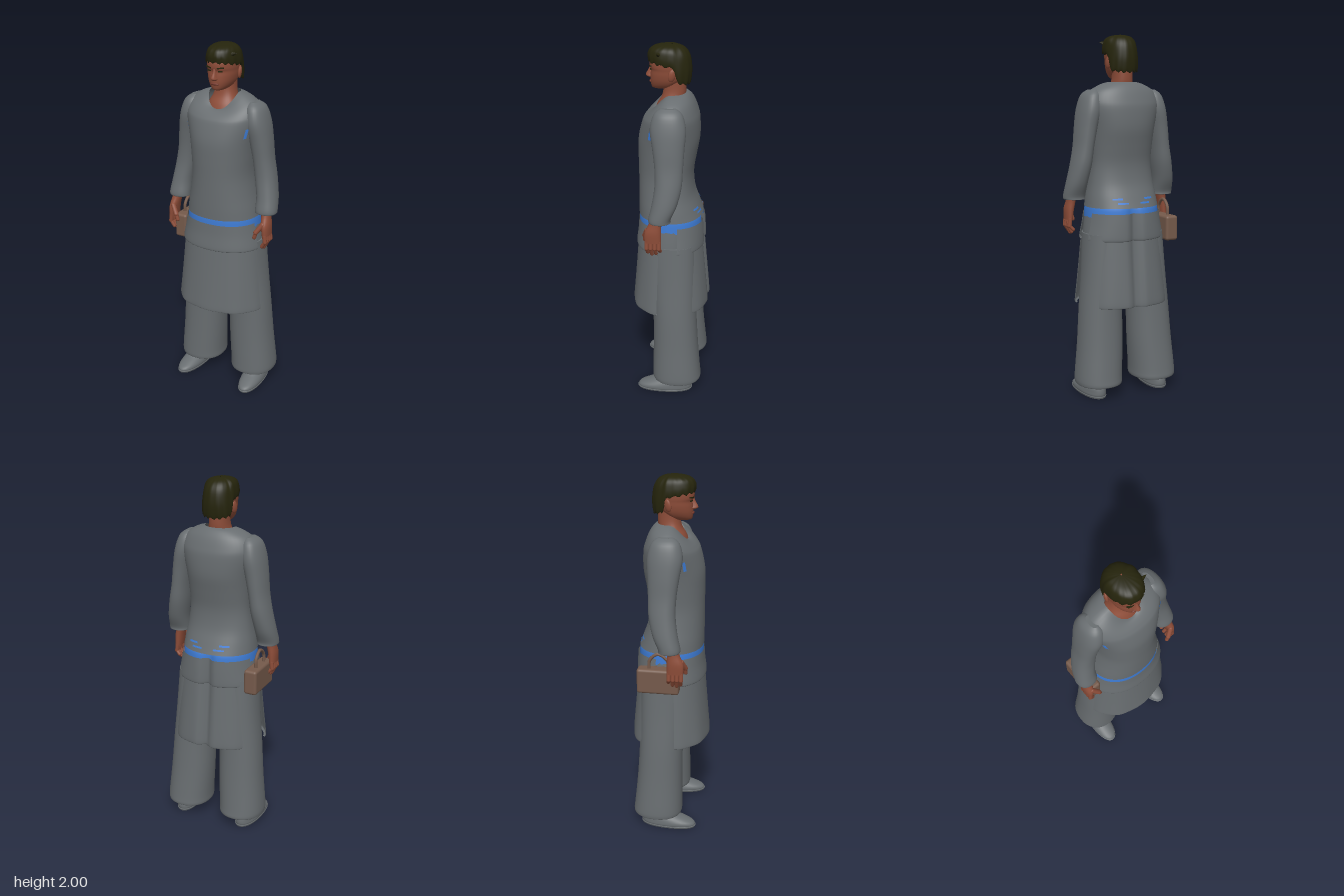
import * as THREE from 'three';
import { RoundedBoxGeometry } from 'three/addons/geometries/RoundedBoxGeometry.js';

const mat = (name, color) => new THREE.MeshStandardMaterial({ name, color, side: THREE.DoubleSide });
const M = {
  cloth: mat('greyCloth', 0x686d70),
  blue: mat('blueUndershirt', 0x3f7dd6),
  skin: mat('skin', 0x8c4c38),
  lip: mat('lips', 0x74392d),
  hair: mat('darkHair', 0x25240c),
  bag: mat('brownLeather', 0x755a4b),
};

const catmull = (a, b, c, d, t) =>
  0.5 * (2 * b + (c - a) * t + (2 * a - 5 * b + 4 * c - d) * t * t + (3 * b - a - 3 * c + d) * t ** 3);

// Skin over rings listed from top to bottom: [y, centreX, halfWidth, centreZ, frontZ, backZ, frontDrop]
function loft(rings, o = {}) {
  const last = rings.length - 1;
  const { a0 = -Math.PI, a1 = Math.PI, seg = 36, p = 2.2, t0 = 0, t1 = last, grow = 0, cap = false, bend } = o;
  const closed = a1 - a0 > 6.28;
  const cols = closed ? seg : seg + 1;
  const rows = Math.max(2, Math.ceil((t1 - t0) * 4));
  const pos = [], idx = [];
  const at = (i, k) => rings[Math.min(last, Math.max(0, i))][k] ?? 0;
  for (let r = 0; r <= rows; r++) {
    const t = t0 + (t1 - t0) * r / rows, i = Math.min(last - 1, Math.floor(t));
    const [y, cx, rx, cz, zf, zb, drop] = [0, 1, 2, 3, 4, 5, 6].map(
      k => catmull(at(i - 1, k), at(i, k), at(i + 1, k), at(i + 2, k), t - i));
    for (let s = 0; s < cols; s++) {
      const a = a0 + (a1 - a0) * s / seg, sn = Math.sin(a), cs = Math.cos(a);
      const ex = Math.sign(sn) * Math.abs(sn) ** (2 / p), ez = Math.sign(cs) * Math.abs(cs) ** (2 / p);
      const v = new THREE.Vector3(cx + ex * (rx + grow), y - drop * Math.max(0, cs) ** 1.5,
        cz + ez * ((cs > 0 ? zf - cz : cz - zb) + grow));
      if (bend) bend(v, a, t / last);
      pos.push(v.x, v.y, v.z);
    }
  }
  for (let r = 0; r < rows; r++) for (let s = 0; s < seg; s++) {
    const n = (s + 1) % cols, a = r * cols + s, b = a + cols, c = r * cols + n, d = c + cols;
    idx.push(a, b, c, b, d, c);
  }
  if (cap) for (const r of [0, rows]) {
    const base = pos.length / 3, m = [0, 0, 0];
    for (let s = 0; s < cols; s++) for (let k = 0; k < 3; k++) {
      const v = pos[(r * cols + s) * 3 + k];
      pos.push(v);
      m[k] += v / cols;
    }
    pos.push(...m);
    for (let s = 0; s < cols; s++) {
      const n = base + (s + 1) % cols;
      idx.push(base + cols, ...(r ? [n, base + s] : [base + s, n]));
    }
  }
  const g = new THREE.BufferGeometry();
  g.setAttribute('position', new THREE.Float32BufferAttribute(pos, 3));
  g.setIndex(idx);
  g.computeVertexNormals();
  return g;
}

export function createModel() {
  const model = new THREE.Group();
  model.name = 'standingMan';
  const add = (name, geo, m, x = 0, y = 0, z = 0) => {
    const mesh = new THREE.Mesh(geo, m);
    mesh.name = name;
    mesh.position.set(x, y, z);
    model.add(mesh);
    return mesh;
  };
  // Rounded finger-like rod between two points
  const rod = (name, a, b, r, m) => {
    const A = new THREE.Vector3(...a), B = new THREE.Vector3(...b), d = B.clone().sub(A);
    const mesh = add(name, new THREE.CapsuleGeometry(r, d.length(), 4, 10), m);
    mesh.position.copy(A).add(B).multiplyScalar(0.5);
    mesh.quaternion.setFromUnitVectors(new THREE.Vector3(0, 1, 0), d.normalize());
  };
  // Centre crease down the back
  const crease = v => { if (v.z < 0) v.z += 0.035 * Math.exp(-((v.x / 0.028) ** 2)); };

  // Tunic with a scooped neckline
  const torso = [
    [1.745, 0, .085, 0, .085, -.075, .085], [1.732, 0, .13, 0, .1, -.095, .075],
    [1.70, 0, .185, 0, .118, -.118, .055], [1.65, 0, .213, 0, .138, -.138, .025],
    [1.6, 0, .213, 0, .155, -.15, .005], [1.5, 0, .19, 0, .178, -.152],
    [1.4, 0, .178, 0, .181, -.135], [1.3, 0, .173, 0, .18, -.12],
    [1.2, 0, .185, 0, .18, -.128], [1.12, 0, .2, 0, .18, -.155], [1.065, 0, .208, 0, .179, -.176],
  ];
  add('tunic', loft(torso, { seg: 48 }), M.cloth);
  add('undershirtBand', loft([[1.1, 0, .196, 0, .17, -.15], [1.065, 0, .206, 0, .177, -.174],
    [1.0, 0, .209, 0, .177, -.178]], { seg: 48, bend: crease }), M.blue);
  // Slivers of undershirt at the armpits and lower back
  for (const s of [-1, 1]) {
    const patch = (name, u, v, t0, t1) => add(name, loft(torso,
      { a0: Math.min(s * u, s * v), a1: Math.max(s * u, s * v), seg: 6, t0, t1, grow: .003 }), M.blue);
    patch('armpitPatch', .98, 1.08, 4.25, 4.75);
    patch('backPatch', 2.55, 2.85, 9.0, 9.15);
    patch('backPatchLower', 2.7, 3.0, 9.35, 9.5);
  }

  // Skirt panels, open at the sides, in two tiers
  const upper = [[1.035, 0, .213, 0, .181, -.186], [.97, 0, .224, 0, .185, -.19],
    [.9, 0, .238, 0, .194, -.192], [.885, 0, .236, 0, .191, -.188], [.887, 0, .226, 0, .182, -.18]];
  const lower = [[.92, 0, .228, 0, .184, -.184], [.75, 0, .243, 0, .198, -.2],
    [.6, 0, .258, 0, .211, -.214], [.53, 0, .265, 0, .217, -.219], [.517, 0, .262, 0, .213, -.214],
    [.52, 0, .25, 0, .203, -.203]];
  const folds = (v, a, t) => {
    const k = 1 + .012 * t * Math.cos(a * 10);
    v.x *= k;
    v.z *= k;
    crease(v);
  };
  for (const [side, mid, w] of [['front', 0, 1.36], ['back', Math.PI, 1.3]]) {
    const o = { a0: mid - w, a1: mid + w, seg: 36 };
    add(side + 'UpperPanel', loft(upper, { ...o, bend: crease }), M.cloth);
    add(side + 'SkirtPanel', loft(lower, { ...o, bend: folds }), M.cloth);
  }

  // Trousers
  add('trouserHips', loft([[1.03, 0, .206, 0, .172, -.172], [.9, 0, .224, 0, .155, -.16],
    [.78, 0, .228, 0, .12, -.15]], { bend: crease }), M.cloth);
  for (const s of [-1, 1]) {
    const side = s > 0 ? 'left' : 'right';
    add(side + 'TrouserLeg', loft([
      [.92, s * .118, .112, -.02, .13, -.15], [.7, s * .135, .112, -.03, .1, -.155],
      [.5, s * .148, .119, -.035, .085, -.16], [.3, s * .157, .125, -.045, .083, -.172],
      [.13, s * .169, .129, -.05, .085, -.188], [.085, s * .17, .129, -.05, .085, -.193],
      [.073, s * .17, .122, -.05, .078, -.186], [.085, s * .17, .1, -.05, .055, -.165],
    ], { cap: true }), M.cloth);

    // Slippers, toes turned out
    const shoe = add(side + 'Shoe', loft([
      [.1, 0, .045, -.05, .04, -.12], [.07, 0, .05, -.04, .065, -.135], [.05, 0, .058, -.02, .115, -.142],
      [.033, 0, .062, 0, .155, -.145], [.02, 0, .063, 0, .168, -.145], [.012, 0, .061, 0, .168, -.143],
      [.01, 0, .064, 0, .173, -.147], [0, 0, .06, 0, .168, -.143],
    ], { cap: true }), M.cloth, s * .2);
    shoe.rotation.y = s * .07;

    // Sleeve
    add(side + 'Sleeve', loft([
      [1.705, s * .178, .02, 0, .035, -.045], [1.675, s * .187, .048, 0, .07, -.08],
      [1.6, s * .2, .06, 0, .088, -.1], [1.5, s * .219, .057, 0, .073, -.095],
      [1.4, s * .234, .053, 0, .06, -.09], [1.3, s * .25, .056, 0, .058, -.085],
      [1.2, s * .268, .057, .01, .072, -.062], [1.13, s * .274, .06, .03, .088, -.032],
      [1.11, s * .273, .058, .03, .085, -.03], [1.125, s * .273, .045, .03, .07, -.015],
    ], { cap: true }), M.cloth);

    // Hand
    add(side + 'Hand', loft([
      [1.15, s * .28, .026, .04, .07, .012], [1.1, s * .285, .025, .05, .085, .018],
      [1.05, s * .293, .024, .06, .108, .018], [.995, s * .297, .019, .06, .108, .018],
    ], { cap: true, seg: 20 }), M.skin);
    for (let i = 0; i < 4; i++) {
      const z = .03 + i * .022, len = [.05, .065, .07, .06][i];
      rod(side + 'Finger', [s * .298, 1.0, z], [s * .302, .96, z], .012, M.skin);
      rod(side + 'FingerTip', [s * .302, .96, z], [s * .283, 1.0 - len - .01, z - .004], .0105, M.skin);
    }
    rod(side + 'Thumb', [s * .285, 1.06, .095], [s * .255, 1.015, .113], .014, M.skin);
    rod(side + 'ThumbTip', [s * .255, 1.015, .113], [s * .246, .985, .113], .011, M.skin);

    // Ear, brow and eye
    const ear = add(side + 'Ear', new THREE.SphereGeometry(1, 14, 10), M.skin, s * .082, 1.85, -.01);
    ear.scale.set(.011, .034, .02);
    ear.rotation.set(-.2, s * .35, 0);
    const brow = add(side + 'Brow', new THREE.BoxGeometry(.036, .007, .008), M.hair, s * .034, 1.886, .109);
    brow.rotation.set(0, s * .3, s * .1);
    const eye = add(side + 'Eye', new THREE.BoxGeometry(.022, .006, .006), M.hair, s * .032, 1.868, .107);
    eye.rotation.y = s * .3;
  }

  // Neck, head and face
  add('neck', loft([[1.82, 0, .054, -.015, .04, -.075], [1.76, 0, .056, -.01, .045, -.076],
    [1.72, 0, .066, 0, .055, -.072], [1.68, 0, .088, 0, .078, -.07], [1.62, 0, .1, 0, .1, -.06]]), M.skin);
  add('head', loft([
    [1.985, 0, .035, .01, .045, -.04], [1.96, 0, .066, .01, .09, -.08], [1.92, 0, .079, .01, .115, -.096],
    [1.885, 0, .08, .01, .118, -.096], [1.865, 0, .078, .01, .111, -.092], [1.84, 0, .076, .01, .113, -.085],
    [1.81, 0, .069, .01, .114, -.055], [1.785, 0, .055, .02, .111, -.015], [1.768, 0, .036, .04, .105, .02],
    [1.762, 0, .02, .05, .09, .035],
  ], { cap: true }), M.skin);
  add('nose', loft([[1.885, 0, .009, .1, .116, .09], [1.86, 0, .01, .1, .125, .09],
    [1.838, 0, .015, .1, .138, .09], [1.826, 0, .019, .1, .137, .09], [1.818, 0, .012, .1, .12, .09]],
    { cap: true, seg: 16 }), M.skin);
  const mouth = add('mouth', new THREE.SphereGeometry(1, 14, 8), M.lip, 0, 1.8, .111);
  mouth.scale.set(.026, .007, .008);

  // Cropped hair, dipping behind the ears
  add('hair', loft([
    [0, 0, .004, 0, .004, -.004], [.03, 0, .035, 0, .045, -.04], [.12, 0, .062, 0, .085, -.073],
    [.3, 0, .08, 0, .113, -.096], [.6, 0, .088, 0, .125, -.106], [.85, 0, .09, 0, .125, -.104],
    [1, 0, .087, 0, .122, -.098], [.97, 0, .077, 0, .11, -.09],
  ], {
    seg: 60, bend: (v, a) => {
      const c = Math.cos(a);
      const hem = 1.893 + .02 * c - .075 * THREE.MathUtils.smoothstep(-c, .15, .4);
      const k = 1 + .018 * Math.sin(a * 13) * v.y;
      v.set(v.x * k + .003, 2 - v.y * (2 - hem - .006 * Math.sin(a * 17)), v.z * k);
    },
  }), M.hair);
  const tuft = add('hairTuft', new THREE.ConeGeometry(.02, .05, 8), M.hair, .08, 1.955, .06);
  tuft.rotation.z = -1.3;

  // Handbag with an arched handle
  add('handbag', new RoundedBoxGeometry(.075, .14, .23, 3, .015), M.bag, -.249, .932, -.035);
  const arch = new THREE.CatmullRomCurve3([[.99, -.085], [1.05, -.08], [1.085, -.035], [1.05, .015], [.99, .02]]
    .map(([y, z]) => new THREE.Vector3(-.255, y, z)));
  add('handbagHandle', new THREE.TubeGeometry(arch, 28, .009, 8), M.bag);
  return model;
}
